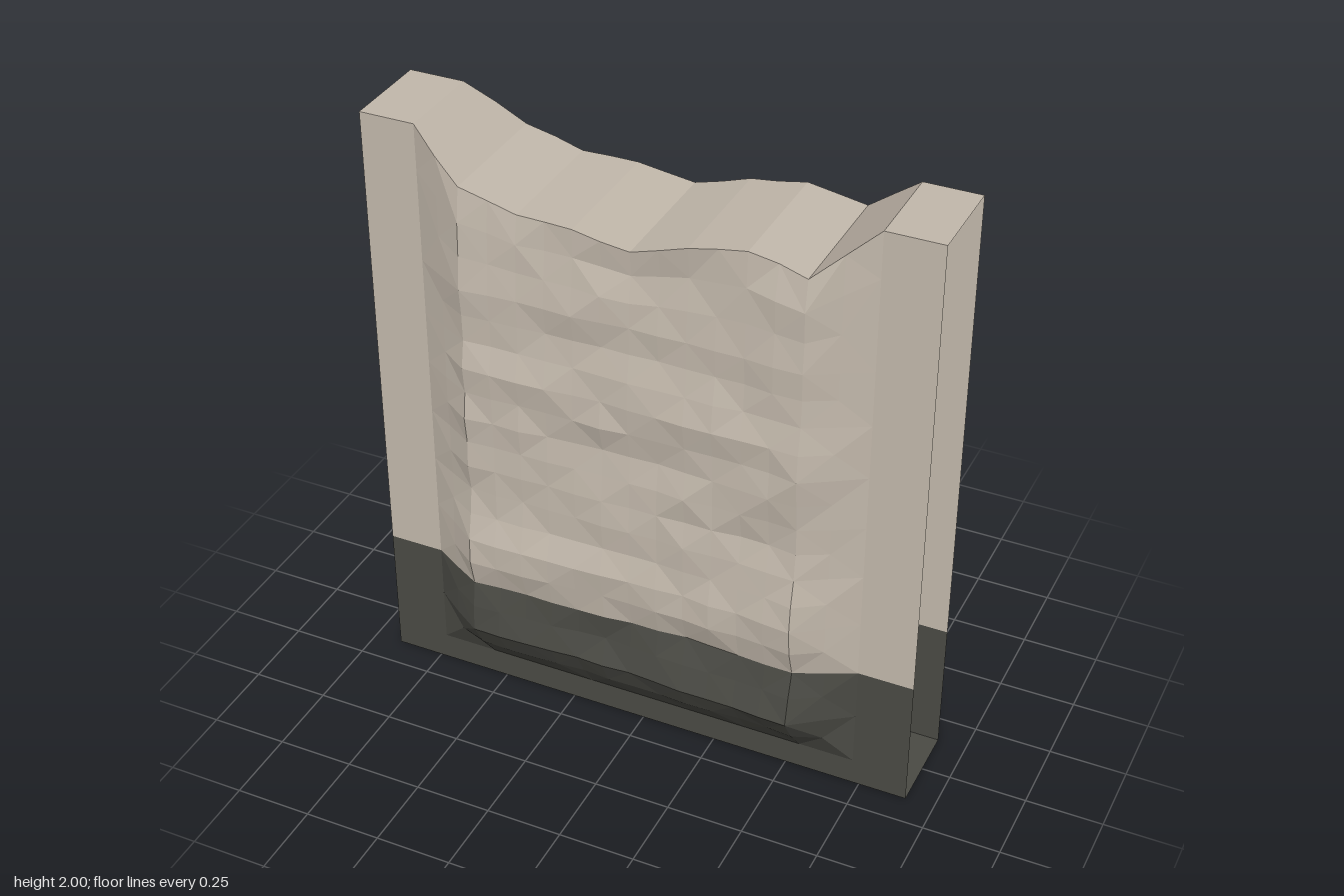
import * as THREE from 'three';

const U = 0.0907;            // grid step
const COLS = 20, ROWS = 20, BASE_ROW = 5;
const HALF = 0.15;           // half thickness of the flat wall

const stone = new THREE.MeshStandardMaterial({ color: 0xc2b8ab, side: THREE.DoubleSide });
stone.name = 'paleStone';
const dark = new THREE.MeshStandardMaterial({ color: 0x4a4a44, side: THREE.DoubleSide });
dark.name = 'darkBase';

// Broken top edge, one height for every second column
const TOP = [2, 2, 1.875, 1.82, 1.82, 1.79, 1.85, 1.885, 1.845, 2, 2];
// Bulge of the rough stone by row, and its drift across the wall
const FRONT = {
  rows: [0, 0, 0.075, 0.125, 0.11, 0.093, 0.12, 0.12, 0.107, 0.1, 0.097, 0.1, 0.103, 0.108, 0.112, 0.1, 0.087, 0.1, 0.09, 0.083, 0.08],
  cols: [0, 0, 0, -0.004, -0.01, -0.015, -0.012, -0.008, 0.003, 0, 0],
};
const BACK = {
  rows: [0, 0, 0.075, 0.122, 0.11, 0.1, 0.113, 0.11, 0.102, 0.095, 0.088, 0.083, 0.09, 0.097, 0.1, 0.09, 0.083, 0.078, 0.085, 0.083, 0.07],
  cols: [0, 0, -0.015, -0.006, 0.002, 0.008, 0, -0.01, -0.004, 0, 0],
};

function sample(list, t) {
  const i = Math.min(Math.floor(t), list.length - 2);
  return THREE.MathUtils.lerp(list[i], list[i + 1], t - i);
}

function hash(a, b, seed) {
  const s = Math.sin(a * 127.1 + b * 311.7 + seed * 74.7) * 43758.5453;
  return (s - Math.floor(s)) * 2 - 1;
}

// Roughness stretched sideways, like split rock
function roughness(i, j, seed) {
  const a = Math.floor(i / 3);
  const band = THREE.MathUtils.lerp(hash(a, j, seed), hash(a + 1, j, seed), i / 3 - a);
  return band * 0.011 + hash(i, j, seed + 9) * 0.005;
}

function heightAt(i, j) {
  if (j === BASE_ROW) return 0.447 + (Math.abs(i - 10) < 7 ? 0.004 : 0);
  if (j <= 17) return j * U;
  return THREE.MathUtils.lerp(17 * U, sample(TOP, i / 2), (j - 17) / (ROWS - 17));
}

function depthAt(i, j, side) {
  const shape = side > 0 ? FRONT : BACK;
  const edge = THREE.MathUtils.clamp((8 - Math.abs(i - 10)) / 2, 0, 1);
  if (edge === 0 || j < 2) return HALF * side;
  const rough = j > 1 ? roughness(i, j, side > 0 ? 3 : 17) : 0;
  const bulge = shape.rows[j] + (j > 1 ? sample(shape.cols, i / 2) + rough : 0);
  return side * (HALF + edge * Math.max(0, bulge));
}

const wallPoint = side => (i, j) => [(i - 10) * U, heightAt(i, j), depthAt(i, j, side)];

// Faceted sheet over a grid of points; flip turns the faces over
function sheet(name, material, i0, i1, j0, j1, point, flip = false) {
  const pos = [];
  for (let i = i0; i < i1; i++) {
    for (let j = j0; j < j1; j++) {
      const a = point(i, j), b = point(i + 1, j), c = point(i + 1, j + 1), d = point(i, j + 1);
      const tris = (i + j) % 2 ? [[a, b, c], [a, c, d]] : [[a, b, d], [b, c, d]];
      for (const [p, q, r] of tris) pos.push(...p, ...(flip ? r : q), ...(flip ? q : r));
    }
  }
  const geo = new THREE.BufferGeometry();
  geo.setAttribute('position', new THREE.Float32BufferAttribute(pos, 3));
  geo.computeVertexNormals();
  const mesh = new THREE.Mesh(geo, material);
  mesh.name = name;
  return mesh;
}

export function createModel() {
  const wall = new THREE.Group();
  wall.name = 'ruinedWall';

  // Front and back faces, each with its dark base course
  for (const [label, side] of [['front', 1], ['back', -1]]) {
    const p = wallPoint(side);
    wall.add(sheet(label + 'Base', dark, 0, COLS, 0, BASE_ROW, p, side < 0));
    wall.add(sheet(label + 'Stone', stone, 0, COLS, BASE_ROW, ROWS, p, side < 0));
  }

  // Broken top joining both faces; the two ends stay open
  wall.add(sheet('brokenTop', stone, 0, COLS, 0, 1,
    (i, j) => wallPoint(j === 0 ? 1 : -1)(i, ROWS)));

  // Underside
  wall.add(sheet('underside', dark, 0, 1, 0, 1,
    (i, j) => [(i * COLS - 10) * U, 0, j === 0 ? HALF : -HALF], true));

  return wall;
}
